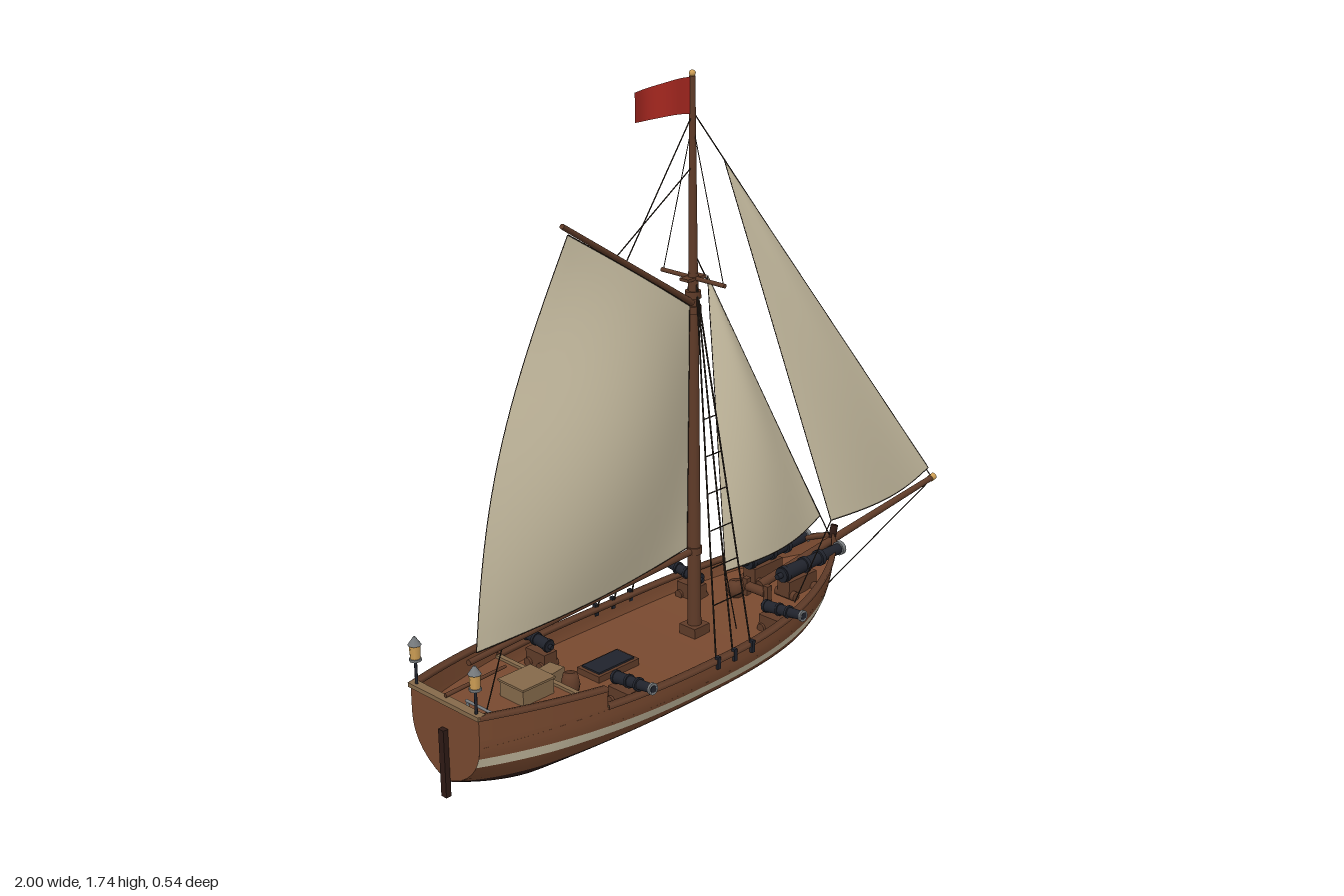
import * as THREE from 'three';

const mat = (name, color, double) => {
  const m = new THREE.MeshStandardMaterial({ color });
  m.name = name;
  if (double) m.side = THREE.DoubleSide;
  return m;
};
const V = (x, y, z) => new THREE.Vector3(x, y, z);

export function createModel() {
  const wood = mat('hull wood', 0x78492f, true);
  const bottom = mat('dark bottom', 0x2e1a15, true);
  const canvas = mat('canvas', 0xd0c5a8, true);
  const spar = mat('spar wood', 0x5f3b28, true);
  const rope = mat('tarred rope', 0x2c231c);
  const iron = mat('gun iron', 0x20232c);
  const steel = mat('grey metal', 0x75797c);
  const red = mat('flag red', 0xb02a22, true);
  const amber = mat('lantern amber', 0xd0a056);
  const tan = mat('pale wood', 0x84694a);

  const ship = new THREE.Group();
  ship.name = 'sailingCutter';

  // ---- helpers ----
  const add = (name, geo, m, parent = ship) => {
    const mesh = new THREE.Mesh(geo, m);
    mesh.name = name;
    parent.add(mesh);
    return mesh;
  };
  const group = (name) => {
    const g = new THREE.Group();
    g.name = name;
    ship.add(g);
    return g;
  };
  const box = (name, w, h, d, x, y, z, m, parent) => {
    const b = add(name, new THREE.BoxGeometry(w, h, d), m, parent);
    b.position.set(x, y, z);
    return b;
  };
  const rod = (name, a, b, r0, r1, m, parent, sides = 12) => {
    const d = b.clone().sub(a);
    const mesh = add(name, new THREE.CylinderGeometry(r1, r0, d.length(), sides), m, parent);
    mesh.position.copy(a).addScaledVector(d, 0.5);
    mesh.quaternion.setFromUnitVectors(V(0, 1, 0), d.normalize());
    return mesh;
  };
  const line = (name, a, b, parent, r = 0.0018) => rod(name, a, b, r, r, rope, parent, 5);
  // smooth surface from f(u, v), with u and v in 0..1
  const grid = (f, nu, nv) => {
    const pos = [], idx = [];
    for (let j = 0; j <= nv; j++) for (let i = 0; i <= nu; i++) pos.push(...f(i / nu, j / nv).toArray());
    for (let j = 0; j < nv; j++) for (let i = 0; i < nu; i++) {
      const a = j * (nu + 1) + i, c = a + nu + 1;
      idx.push(a, a + 1, c + 1, a, c + 1, c);
    }
    const g = new THREE.BufferGeometry();
    g.setAttribute('position', new THREE.Float32BufferAttribute(pos, 3));
    g.setIndex(idx);
    g.computeVertexNormals();
    return g;
  };

  // ---- hull lines ----
  const X0 = -0.985, X1 = 0.47, STEP = -0.63, mix = THREE.MathUtils.lerp;
  const fore = (x) => Math.max(0, (x + 0.2) / 0.67) ** 2;
  const aft = (x) => Math.max(0, (-0.2 - x) / 0.785) ** 2;
  const beam = (x) => x > -0.3
    ? 0.235 * Math.max(0, 1 - ((x + 0.3) / 0.77) ** 3) ** 0.8
    : 0.235 * (1 - 0.45 * ((-0.3 - x) / 0.69) ** 2.2);
  const keelY = (x) => 0.06 * Math.max(0, (-0.78 - x) / 0.205) ** 1.5 + 0.07 * Math.max(0, (x - 0.12) / 0.35) ** 2;
  const sheer = (x) => 0.2 + 0.06 * fore(x) + 0.02 * aft(x);
  const quarterSheer = (x) => 0.257 + 0.025 * (STEP - x) / (STEP - X0);
  const stripe = (x) => 0.125 + 0.045 * fore(x) + 0.03 * aft(x);
  const water = () => 0.077;
  const deckY = (x) => sheer(x) - 0.05;
  const half = (x, y) => {
    const t = THREE.MathUtils.clamp((y - keelY(x)) / (sheer(x) - keelY(x)), 0, 1);
    return beam(x) * (1 - (1 - t) ** 2.5) ** 0.75;
  };
  const at = (x, y, z) => V(x + 0.2 * (y - 0.1) * (Math.max(0, x) / X1) ** 2, y, z);
  const band = (name, lo, hi, m, s, rows, xa = X0, xb = X1) => add(name, grid((u, v) => {
    const x = mix(xa, xb, u), y = mix(lo(x), hi(x), v * v * 0.5 + v * 0.5);
    return at(x, y, s * half(x, y));
  }, 60, rows), m);
  const rail = (name, yf, xa, xb, s) => add(name, grid((u, v) => {
    const x = mix(xa, xb, u), a = Math.round(v * 4) % 4;
    const y = yf(x) + (a === 1 || a === 2 ? 0.008 : -0.004);
    return at(x, y, s * Math.max(0, half(x, yf(x)) + (a < 2 ? 0.005 : -0.014)));
  }, 50, 4), spar);

  for (const s of [1, -1]) {
    band('hullBottom', keelY, water, bottom, s, 10);
    band('hullSide', water, (x) => stripe(x) - 0.014, wood, s, 3);
    band('hullStripe', (x) => stripe(x) - 0.014, (x) => stripe(x) + 0.014, canvas, s, 1);
    band('upperSide', (x) => stripe(x) + 0.014, sheer, wood, s, 3);
    band('quarterBulwark', sheer, quarterSheer, wood, s, 1, X0, STEP);
    rail('rail', sheer, STEP, X1, s);
    rail('quarterRail', quarterSheer, X0, STEP, s);
  }
  const deck = (name, yf, xa, xb) => add(name, grid((u, v) => {
    const x = mix(xa, xb, u);
    return at(x, yf(x), -(v * 2 - 1) * half(x, yf(x)));
  }, 40, 6), wood);
  deck('mainDeck', deckY, STEP, X1);
  deck('quarterDeck', () => 0.2, X0, STEP);
  add('transom', grid((u, v) => {
    const y = mix(keelY(X0), quarterSheer(X0), v);
    return V(X0, y, (u * 2 - 1) * half(X0, y));
  }, 6, 12), wood);
  box('transomRail', 0.025, 0.012, 0.27, -0.978, 0.284, 0, tan);
  box('quarterDeckStep', 0.01, 0.05, 0.41, STEP, 0.178, 0, wood);
  box('quarterDeckEdge', 0.014, 0.008, 0.42, STEP, 0.205, 0, tan);
  box('rudder', 0.016, 0.19, 0.02, -0.992, 0.115, 0, bottom);
  rod('stemPost', V(0.488, 0.2, 0), V(0.513, 0.29, 0), 0.011, 0.011, bottom, ship, 8);

  // ---- mast and spars ----
  const MX = -0.09;
  rod('lowerMast', V(MX, 0.14, 0), V(MX, 1.2, 0), 0.02, 0.014, spar);
  rod('topmast', V(MX, 1.1, 0), V(MX, 1.72, 0), 0.014, 0.008, spar);
  add('mastCap', new THREE.SphereGeometry(0.009, 10, 8), amber).position.set(MX, 1.727, 0);
  box('mastPartner', 0.06, 0.03, 0.06, MX, 0.165, 0, spar);
  for (const y of [0.405, 1.1, 1.14]) rod('mastCollar', V(MX, y - 0.01, 0), V(MX, y + 0.01, 0), 0.022, 0.022, spar);
  rod('crosstree', V(MX, 1.185, -0.115), V(MX, 1.185, 0.115), 0.006, 0.006, spar);
  box('crosstreePlate', 0.07, 0.008, 0.03, MX, 1.185, 0, spar);
  const gaffEnd = V(-0.605, 1.435, 0.06), boomEnd = V(-0.975, 0.418, 0.09);
  rod('gaff', V(-0.1, 1.12, 0.005), gaffEnd, 0.009, 0.007, spar);
  rod('boom', V(-0.1, 0.403, 0), boomEnd, 0.01, 0.008, spar);
  rod('bowsprit', V(0.18, 0.205, 0), V(0.985, 0.303, 0), 0.014, 0.009, spar);
  rod('bowspritCap', V(0.978, 0.302, 0), V(0.996, 0.305, 0), 0.011, 0.011, amber);

  // ---- sails, each with a thin rope along its edges ----
  const sail = (name, f) => {
    const g = group(name);
    add(name + 'Cloth', grid(f, 20, 24), canvas, g);
    for (const e of [(t) => f(0, t), (t) => f(1, t), (t) => f(t, 1), (t) => f(t, 0)]) {
      if (e(0).distanceTo(e(1)) < 0.01) continue;
      const pts = Array.from({ length: 13 }, (_, i) => e(i / 12));
      add('boltRope', new THREE.TubeGeometry(new THREE.CatmullRomCurve3(pts), 24, 0.0016, 4), rope, g);
    }
  };
  const { sin, PI } = Math;
  const tack = V(-0.118, 0.418, 0), clew = V(-0.945, 0.432, 0.085), peak = V(-0.585, 1.41, 0.058), throat = V(-0.112, 1.115, 0.008);
  sail('mainsail', (u, v) => {
    const p = tack.clone().lerp(clew, u).lerp(throat.clone().lerp(peak, u), v);
    p.x -= 0.07 * sin(PI * v) * u * u;
    p.z += 0.085 * sin(PI * u) * sin(PI * (0.1 + 0.85 * v));
    return p;
  });
  const headsail = (name, head, low, back, belly, roach) => sail(name, (u, v) => {
    const p = head.clone().lerp(back.clone().lerp(low, u), v);
    p.z += belly * sin(PI * u) * sin(PI * v * 0.8);
    p.y -= roach * sin(PI * u) * v * v;
    return p;
  });
  headsail('staysail', V(-0.035, 1.18, 0), V(0.445, 0.34, 0), V(0, 0.32, 0.035), 0.06, 0.005);
  headsail('jib', V(0.03, 1.48, 0), V(0.965, 0.342, 0), V(0.4, 0.362, 0.08), 0.055, 0.004);

  // ---- rigging ----
  const rig = group('rigging');
  const mastAt = (y) => V(MX, y, 0);
  line('forestay', mastAt(1.63), V(0.975, 0.315, 0), rig);
  line('innerStay', mastAt(1.26), V(0.49, 0.265, 0), rig);
  line('bobstay', V(0.975, 0.295, 0), V(0.472, 0.1, 0), rig);
  line('peakHalyard', mastAt(1.62), V(-0.37, 1.285, 0.033), rig);
  line('peakHalyard', mastAt(1.485), V(-0.41, 1.31, 0.038), rig);
  line('mainsheet', V(-0.86, 0.41, 0.08), V(-0.87, 0.21, 0.02), rig);
  line('jibSheet', V(0.4, 0.362, 0.08), V(0.14, 0.22, 0.17), rig);
  line('staysailSheet', V(0, 0.32, 0.035), V(-0.08, 0.21, 0.15), rig);
  for (const s of [1, -1]) {
    const top = V(MX, 1.17, s * 0.012);
    const feet = [-0.245, -0.18, -0.11].map((x) => V(x, 0.21, s * 0.228));
    for (const f of feet) {
      line('shroud', top, f, rig, 0.0025);
      box('deadeye', 0.012, 0.035, 0.012, f.x, 0.198, s * 0.236, iron, rig);
    }
    for (let t = 0.14; t < 0.72; t += 0.1)
      line('ratline', feet[0].clone().lerp(top, t), feet[2].clone().lerp(top, t), rig);
    line('topmastShroud', mastAt(1.6), V(MX, 1.185, s * 0.11), rig, 0.0013);
  }

  // ---- flag ----
  add('flag', grid((u, v) => V(-0.097 - 0.208 * u, mix(1.622 + 0.012 * u, 1.718 - 0.008 * u, v) + 0.004 * sin(u * 6),
    0.014 * sin(u * 7) * u), 20, 4), red);

  // ---- guns ----
  const gun = (name, breech, muzzle, r) => {
    const g = group(name);
    const p = (t) => breech.clone().lerp(muzzle, t);
    rod('barrel', breech, muzzle, r, r * 0.72, iron, g, 16);
    for (const t of [0.02, 0.35, 0.6]) rod('band', p(t), p(t + 0.05), r * 1.1, r * 1.1, iron, g, 16);
    rod('muzzleRing', p(0.95), p(1), r * 0.95, r * 0.95, steel, g, 16);
    rod('bore', p(0.99), p(1.005), r * 0.55, r * 0.55, iron, g, 12);
    rod('knob', p(-0.07), p(0), r * 0.4, r * 0.4, iron, g, 8);
    return g;
  };
  for (const s of [1, -1]) {
    for (const x of [-0.52, 0.065]) {
      const g = gun('sideGun', V(x, 0.222, s * 0.125), V(x, 0.236, s * 0.268), 0.017);
      box('carriage', 0.045, 0.045, 0.075, x, 0.18, s * 0.16, spar, g);
      for (const dx of [-0.025, 0.025]) for (const z of [0.135, 0.185])
        rod('wheel', V(x + dx - 0.005, 0.165, s * z), V(x + dx + 0.005, 0.165, s * z), 0.013, 0.013, spar, g);
    }
    const g = gun('bowGun', V(0.2, 0.25, s * 0.066), V(0.465, 0.252, s * 0.066), 0.022);
    box('carriage', 0.12, 0.05, 0.045, 0.27, 0.205, s * 0.066, spar, g);
    for (const x of [0.225, 0.315]) rod('axle', V(x, 0.185, s * 0.03), V(x, 0.185, s * 0.102), 0.014, 0.014, spar, g);
  }

  // ---- deck fittings ----
  box('cabinChest', 0.105, 0.045, 0.09, -0.715, 0.222, 0.002, tan);
  box('chestLid', 0.112, 0.006, 0.097, -0.715, 0.246, 0.002, tan);
  box('smallCrate', 0.05, 0.05, 0.05, -0.58, 0.18, -0.055, tan).rotation.y = 0.15;
  box('hatchFrame', 0.15, 0.02, 0.085, -0.41, 0.161, -0.015, spar);
  box('hatchCover', 0.13, 0.006, 0.066, -0.41, 0.173, -0.015, iron);
  const barrel = (x, z, h) => {
    const prof = [[0, 0], [0.02, 0], [0.026, h / 2], [0.02, h], [0, h]].map((p) => new THREE.Vector2(...p));
    add('barrel', new THREE.LatheGeometry(prof, 16), spar).position.set(x, deckY(x), z);
  };
  barrel(-0.58, 0.02, 0.06);
  barrel(0.145, -0.06, 0.045);
  rod('windlass', V(0.17, 0.195, -0.035), V(0.17, 0.195, 0.035), 0.014, 0.014, spar);
  for (const s of [1, -1]) box('bitt', 0.018, 0.07, 0.018, 0.17, 0.185, s * 0.04, spar);
  rod('tiller', V(-0.98, 0.298, 0), V(-0.79, 0.312, 0.01), 0.006, 0.004, spar);
  rod('sheetHorse', V(-0.87, 0.222, -0.055), V(-0.87, 0.222, 0.08), 0.004, 0.004, steel);
  for (const z of [-0.05, 0.075]) rod('horsePost', V(-0.87, 0.2, z), V(-0.87, 0.222, z), 0.004, 0.004, steel);

  // ---- stern lanterns ----
  for (const s of [1, -1]) {
    const g = group('lantern'), x = -0.978, z = s * 0.115;
    rod('pole', V(x, 0.28, z), V(x, 0.36, z), 0.004, 0.004, iron, g, 8);
    rod('base', V(x, 0.354, z), V(x, 0.361, z), 0.016, 0.016, steel, g, 8);
    rod('glass', V(x, 0.361, z), V(x, 0.398, z), 0.013, 0.015, amber, g, 8);
    rod('cap', V(x, 0.398, z), V(x, 0.42, z), 0.018, 0.003, steel, g, 8);
  }

  // ---- anchor hung on the right bow ----
  const anchor = group('anchor');
  rod('shank', V(0.27, 0.1, -0.172), V(0.27, 0.205, -0.172), 0.005, 0.005, steel, anchor, 8);
  rod('stock', V(0.27, 0.195, -0.19), V(0.27, 0.195, -0.15), 0.004, 0.004, steel, anchor, 8);
  const arms = add('arms', new THREE.TorusGeometry(0.035, 0.005, 6, 16, PI), steel, anchor);
  arms.position.set(0.27, 0.137, -0.172);
  arms.rotation.z = PI;
  return ship;
}
